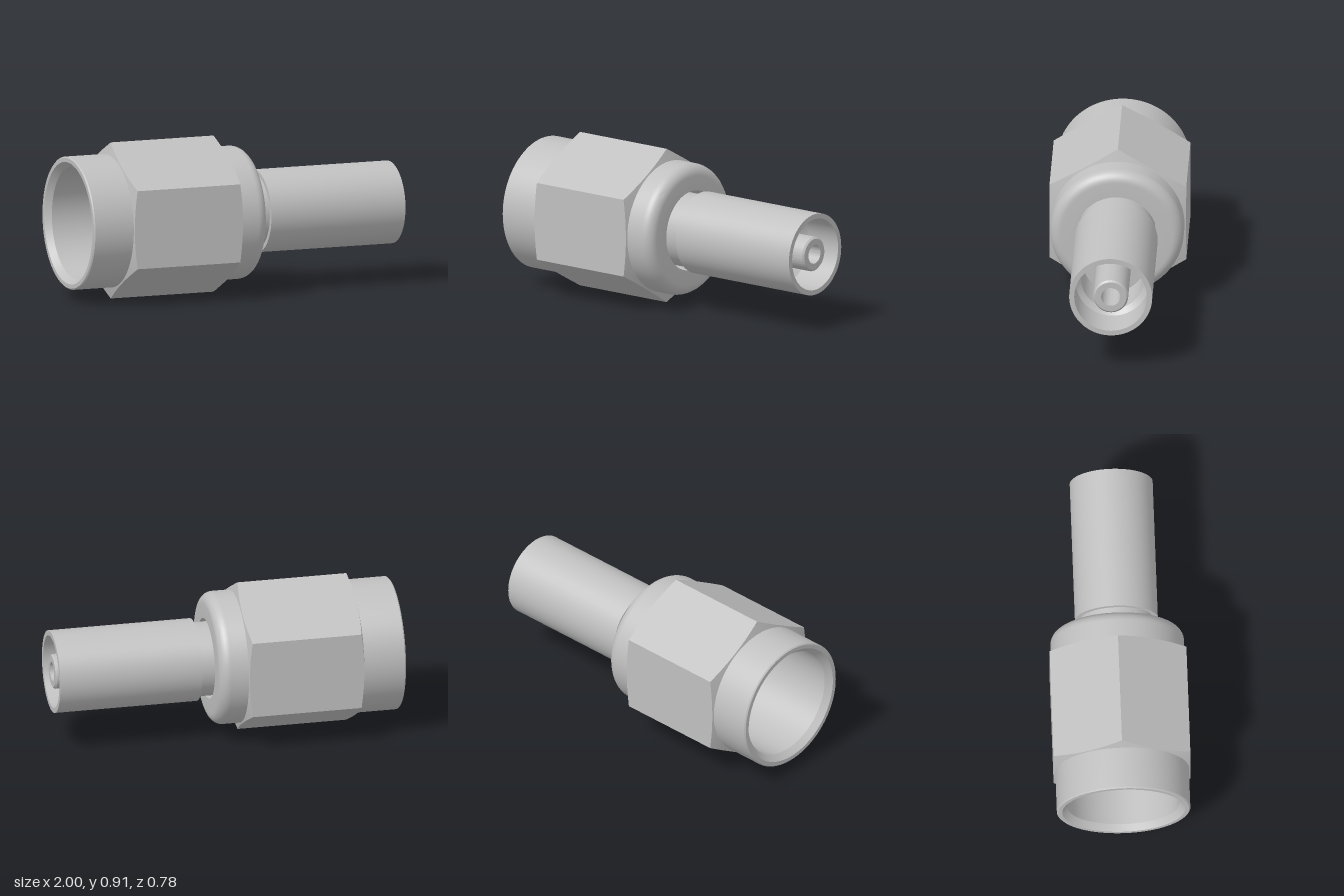
import * as THREE from 'three';
import { toCreasedNormals } from 'three/addons/utils/BufferGeometryUtils.js';

const AXIS_Y = 0.453;   // height of the common axis
const SIDES = 96;

// Turn a closed [x, radius] profile about the x axis (outside left to right, bore back again).
function turned(name, profile, material) {
  const points = [...profile, profile[0]].map(([x, r]) => new THREE.Vector2(r, x));
  const geometry = new THREE.LatheGeometry(points, SIDES).rotateZ(-Math.PI / 2);
  const mesh = new THREE.Mesh(toCreasedNormals(geometry, 0.45), material);
  mesh.name = name;
  return mesh;
}

// Points of a rounded outer edge at the right end of a part.
function roundedEdge(x, r, radius, steps = 8) {
  return Array.from({ length: steps + 1 }, (_, i) => {
    const a = (i / steps) * Math.PI / 2;
    return [x - radius + radius * Math.sin(a), r - radius + radius * Math.cos(a)];
  });
}

// Hexagonal prism whose corners are cut by a cone at both ends.
function hexGeometry(left, right, apothem, coneRadius) {
  const steps = 16, count = 6 * steps, positions = [];
  const ring = i => {
    const angle = (i / count) * Math.PI * 2;
    const local = ((i % steps) / steps) * Math.PI / 3 - Math.PI / 6;
    const r = apothem / Math.cos(local);
    const cut = (r - coneRadius) * 0.28;
    return [[left, coneRadius], [left + cut, r], [right - cut, r], [right, coneRadius]]
      .map(([x, q]) => [x, q * Math.cos(angle), q * Math.sin(angle)]);
  };
  for (let i = 0; i < count; i++) {
    const a = ring(i), b = ring(i + 1);
    for (let j = 0; j < 3; j++) {
      positions.push(...a[j], ...b[j], ...a[j + 1], ...b[j], ...b[j + 1], ...a[j + 1]);
    }
  }
  const geometry = new THREE.BufferGeometry();
  geometry.setAttribute('position', new THREE.Float32BufferAttribute(positions, 3));
  return toCreasedNormals(geometry, 0.3);
}

export function createModel() {
  const metal = new THREE.MeshStandardMaterial({ color: 0xc0c0c0 });
  metal.name = 'brushed metal';

  const model = new THREE.Group();
  model.name = 'coaxialConnector';
  const assembly = new THREE.Group();
  assembly.name = 'connectorAssembly';
  assembly.position.y = AXIS_Y;
  model.add(assembly);

  // Coupling nut: round sleeve with an open bore and a rounded collar
  assembly.add(turned('couplingSleeve', [
    [-1, 0.376], [-0.993, 0.383],
    ...roundedEdge(0.09, 0.383, 0.065),
    [0.09, 0.232], [-0.06, 0.232], [-0.06, 0.32],
    [-0.965, 0.32], [-1, 0.352],
  ], metal));

  // Wrench flats around the sleeve
  const hex = new THREE.Mesh(hexGeometry(-0.755, -0.075, 0.3923, 0.381), metal);
  hex.name = 'hexFlats';
  assembly.add(hex);

  // Inner body: mating face, flange, neck and crimp barrel
  assembly.add(turned('innerBody', [
    [-0.5, 0.055], [-0.5, 0.23], [-0.16, 0.23], [-0.16, 0.31], [-0.07, 0.31], [-0.07, 0.213],
    [0.165, 0.213], [0.165, 0.238], [1, 0.238],
    [1, 0.209], [0.78, 0.209], [0.75, 0.178], [0.5, 0.178], [0.5, 0.055],
  ], metal));

  // Hollow ferrule in the middle of the barrel
  assembly.add(turned('centreFerrule', [
    [0.49, 0.1], [0.985, 0.1], [0.995, 0.09], [0.995, 0.055], [0.49, 0.055],
  ], metal));

  return model;
}
